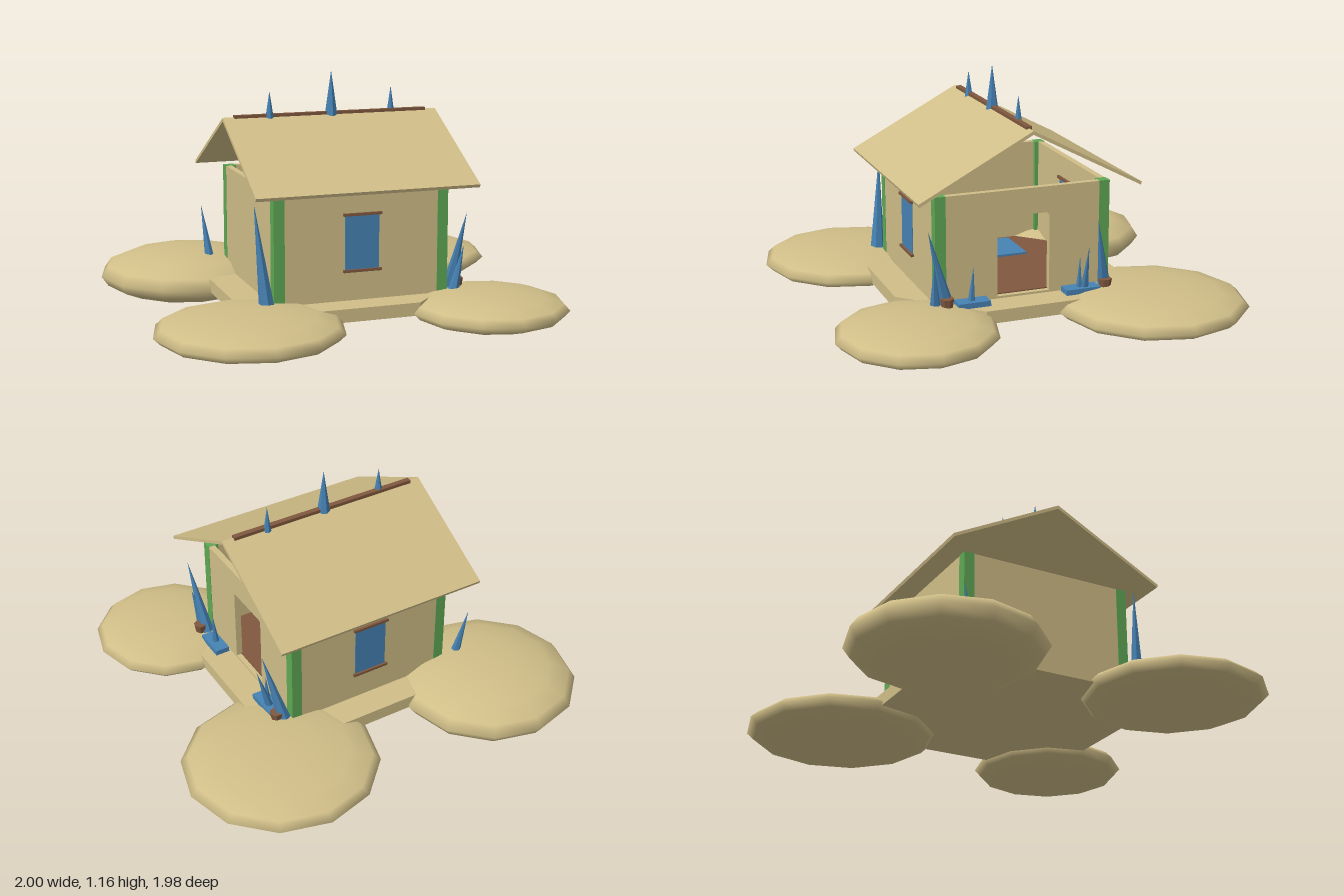
import * as THREE from 'three';

const paint = (name, color) => {
  const m = new THREE.MeshStandardMaterial({ color });
  m.name = name;
  return m;
};

export function createModel() {
  const sand = paint('sand', 0xd0be88);
  const blue = paint('blue', 0x4682b4);
  const brown = paint('brown', 0x80583e);
  const green = paint('green', 0x5fa855);

  const model = new THREE.Group();
  model.name = 'hut';
  const CX = -0.01, CZ = 0.015;

  const add = (name, geometry, material, x = 0, y = 0, z = 0) => {
    const mesh = new THREE.Mesh(geometry, material);
    mesh.name = name;
    mesh.position.set(x, y, z);
    model.add(mesh);
    return mesh;
  };
  const box = (name, mat, x0, x1, y0, y1, z0, z1) =>
    add(name, new THREE.BoxGeometry(x1 - x0, y1 - y0, z1 - z0), mat, (x0 + x1) / 2, (y0 + y1) / 2, (z0 + z1) / 2);
  const faceted = (geometry) => {
    const g = geometry.toNonIndexed();
    g.computeVertexNormals();
    return g;
  };
  // Faceted cone running from a base point to a tip
  const spike = (name, mat, base, tip, radius, sides = 6) => {
    const a = new THREE.Vector3(...base), b = new THREE.Vector3(...tip);
    const dir = b.clone().sub(a), len = dir.length();
    const mesh = add(name, faceted(new THREE.ConeGeometry(radius, len, sides)), mat);
    mesh.position.copy(a).addScaledVector(dir, 0.5);
    mesh.quaternion.setFromUnitVectors(new THREE.Vector3(0, 1, 0), dir.normalize());
  };

  // Four flattened floats: x, z, radius, half height
  for (const [x, z, r, h] of [
    [-0.57, -0.553, 0.43, 0.122], [0.55, -0.55, 0.447, 0.082],
    [0.55, 0.567, 0.364, 0.08], [-0.57, 0.565, 0.42, 0.08],
  ]) add('float', new THREE.SphereGeometry(1, 12, 8), sand, x, 0.13, z).scale.set(r, h, r);

  // Octagonal platform and inner floor
  const deck = new THREE.CylinderGeometry(0.595, 0.595, 0.06, 8);
  deck.rotateY(Math.PI / 8);
  add('platform', faceted(deck), sand, CX, 0.15, CZ);
  box('floor', brown, -0.39, 0.375, 0.125, 0.195, -0.37, 0.4);

  // Plain walls
  const X0 = -0.418, X1 = 0.4, Z0 = -0.4, Z1 = 0.43, Y0 = 0.17, Y1 = 0.68, T = 0.03;
  box('frontWall', sand, X0 + 0.01, X1 - 0.01, Y0, Y1, Z1 - T, Z1);
  box('backWall', sand, X0 + 0.01, X1 - 0.01, Y0, Y1, Z0, Z0 + T);
  box('rightWall', sand, X0, X0 + T, Y0, Y1, Z0 + 0.01, Z1 - 0.01);

  // Wall with a doorway rounded at the top
  const wall = new THREE.Shape();
  wall.moveTo(-Z1 + 0.01, Y0);
  wall.lineTo(-Z0 - 0.01, Y0);
  wall.lineTo(-Z0 - 0.01, Y1);
  wall.lineTo(-Z1 + 0.01, Y1);
  const door = new THREE.Path();
  door.moveTo(-0.14, 0.19);
  door.lineTo(-0.14, 0.545);
  door.quadraticCurveTo(-0.14, 0.56, -0.125, 0.56);
  door.lineTo(0.095, 0.56);
  door.quadraticCurveTo(0.11, 0.56, 0.11, 0.545);
  door.lineTo(0.11, 0.19);
  wall.holes.push(door);
  const doorWall = new THREE.ExtrudeGeometry(wall, { depth: T, bevelEnabled: false, curveSegments: 3 });
  doorWall.rotateY(Math.PI / 2);
  add('doorWall', doorWall, sand, X1 - T, 0, 0);

  // Corner posts
  const P = 0.05, E = 0.002;
  for (const x of [X0 - E, X1 + E - P])
    for (const z of [Z0 - E, Z1 + E - P])
      box('cornerPost', green, x, x + P, Y0, Y1 + 0.001, z, z + P);

  // Windows with lintel and sill, front and back
  for (const z of [Z1 - T / 2, Z0 + T / 2]) {
    box('window', blue, -0.09, 0.07, 0.315, 0.57, z - 0.018, z + 0.018);
    for (const y of [0.31, 0.565])
      box('windowBar', brown, -0.1, 0.08, y, y + 0.012, z - 0.028, z + 0.028);
  }

  // Open gabled roof
  const roofShape = new THREE.Shape();
  [[-0.525, 0.69], [-0.52, 0.676], [0, 0.95], [0.52, 0.676], [0.525, 0.69], [0, 0.967]]
    .forEach(([a, b], i) => (i ? roofShape.lineTo(a, b) : roofShape.moveTo(a, b)));
  const roof = new THREE.ExtrudeGeometry(roofShape, { depth: 1.04, bevelEnabled: false });
  roof.rotateY(Math.PI / 2);
  add('roof', roof, sand, -0.53, 0, CZ);
  box('ridgeBeam', brown, -0.477, 0.455, 0.957, 0.975, 0, 0.026);

  // Roof spikes
  for (const [x, z, top, r] of [[-0.31, 0.02, 1.08, 0.02], [-0.01, 0.012, 1.165, 0.03], [0.29, 0, 1.08, 0.018]])
    spike('roofSpike', blue, [x, 0.955, z], [x, top, z], r);

  // Spikes around the corners: base, tip, radius
  for (const [base, tip, r] of [
    [[-0.46, 0.19, 0.45], [-0.505, 0.645, 0.42], 0.035],
    [[-0.49, 0.19, -0.4], [-0.522, 0.48, -0.45], 0.026],
    [[0.43, 0.19, 0.39], [0.47, 0.555, 0.487], 0.032],
    [[0.43, 0.19, 0.445], [0.47, 0.4, 0.46], 0.025],
    [[0.44, 0.19, 0.28], [0.455, 0.365, 0.274], 0.018],
    [[0.43, 0.19, -0.37], [0.5, 0.525, -0.305], 0.032],
    [[0.445, 0.19, -0.265], [0.505, 0.41, -0.26], 0.02],
    [[0.44, 0.19, -0.24], [0.45, 0.35, -0.24], 0.016],
  ]) spike('cornerSpike', blue, base, tip, r);

  // Stumps and trays beside the doorway
  for (const [z, t0, t1] of [[0.4, 0.2, 0.35], [-0.36, -0.33, -0.165]]) {
    add('stump', faceted(new THREE.CylinderGeometry(0.032, 0.024, 0.05, 7)), brown, 0.462, 0.21, z);
    box('tray', blue, 0.41, 0.48, 0.18, 0.205, t0, t1);
  }

  // Mat, dome and small spikes inside
  box('mat', blue, -0.35, -0.1, 0.195, 0.205, -0.2, 0.24);
  add('dome', new THREE.SphereGeometry(0.04, 10, 6), sand, -0.22, 0.215, CZ);
  spike('domeTip', sand, [-0.22, 0.24, CZ], [-0.22, 0.315, CZ], 0.016);
  for (const [z, top] of [[0.08, 0.3], [-0.05, 0.29]])
    spike('innerSpike', blue, [-0.22, 0.2, z], [-0.22, top, z], 0.018);

  return model;
}
